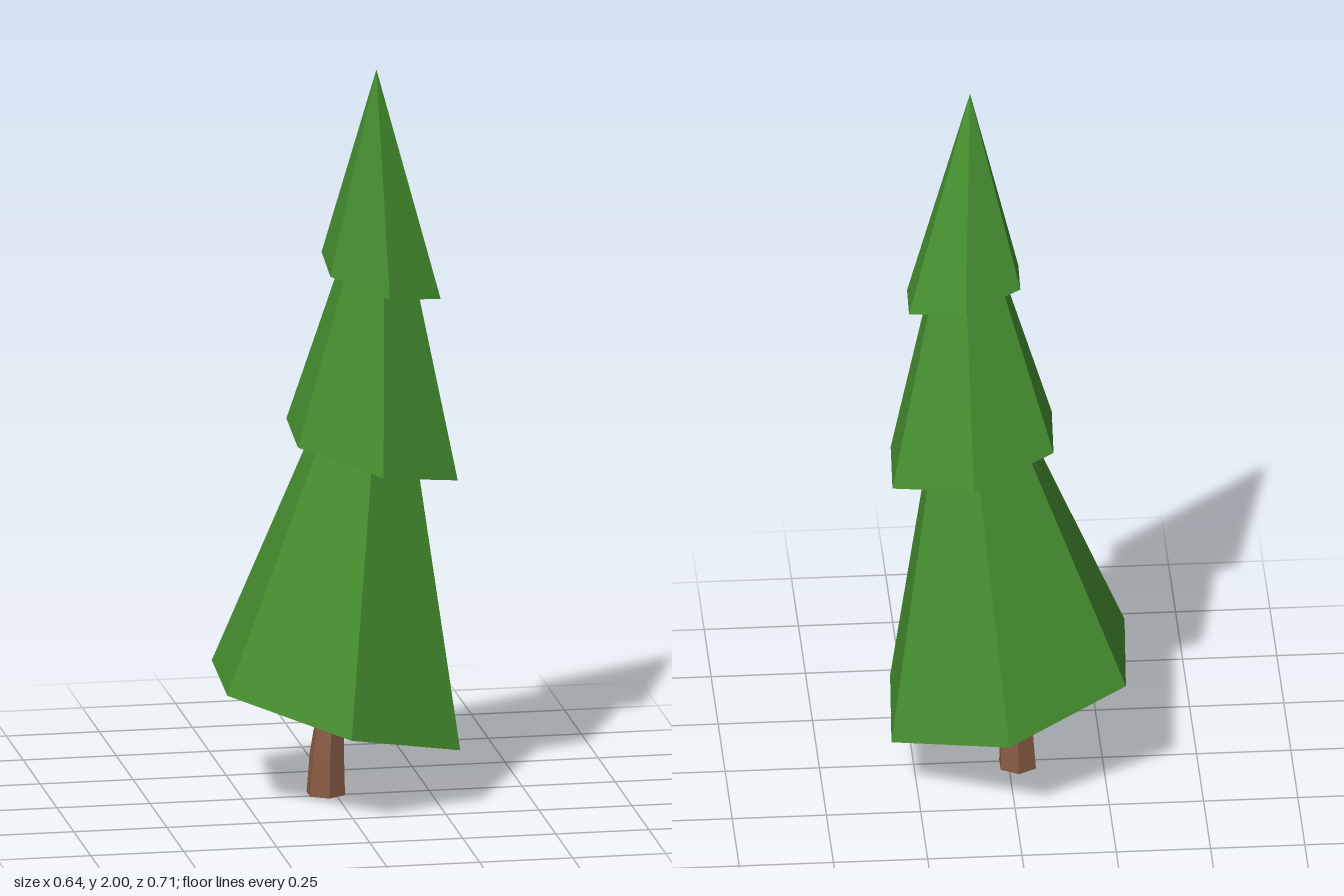
import * as THREE from 'three';

const SIDES = 6;

// Ring of corners around a centre, on a plane tilted by slopes sx and sz
function ring([cx, cy, cz], radius, turn = 0, sx = 0, sz = 0) {
  return Array.from({ length: SIDES }, (_, i) => {
    const a = turn + (i * Math.PI * 2) / SIDES;
    const x = radius * Math.sin(a), z = radius * Math.cos(a);
    return [cx + x, cy + sx * x + sz * z, cz + z];
  });
}

// Triangles joining a ring to a point; flip for faces that look down
function fan(points, tip, flip = false) {
  return points.flatMap((p, i) => {
    const q = points[(i + 1) % SIDES];
    return flip ? [q, p, tip] : [p, q, tip];
  });
}

// Band of faces between two rings
function band(low, high) {
  return low.flatMap((p, i) => {
    const j = (i + 1) % SIDES;
    return [p, low[j], high[j], p, high[j], high[i]];
  });
}

function facetedMesh(name, corners, material) {
  const geometry = new THREE.BufferGeometry();
  geometry.setAttribute('position', new THREE.Float32BufferAttribute(corners.flat(), 3));
  geometry.computeVertexNormals();
  const mesh = new THREE.Mesh(geometry, material);
  mesh.name = name;
  return mesh;
}

export function createModel() {
  const tree = new THREE.Group();
  tree.name = 'pineTree';
  const needles = new THREE.MeshStandardMaterial({ color: 0x468f30 });
  needles.name = 'needleGreen';
  const bark = new THREE.MeshStandardMaterial({ color: 0x8a5c44 });
  bark.name = 'barkBrown';

  // Leaning foliage cones, each with a tilted rim and a hollowed underside
  const tiers = [
    { name: 'lowerFoliage', centre: [0, 0.245, 0], radius: 0.358, turn: -0.064, sx: -0.27, sz: -0.025, tip: [0.137, 1.46, 0] },
    { name: 'middleFoliage', centre: [0.094, 0.945, 0.016], radius: 0.246, turn: -0.055, sx: -0.24, sz: -0.075, tip: [0.12, 1.82, 0.062] },
    { name: 'upperFoliage', centre: [0.115, 1.425, 0.034], radius: 0.17, turn: -0.042, sx: -0.235, sz: -0.148, tip: [0.095, 2, 0.075] },
  ];
  for (const t of tiers) {
    const rim = ring(t.centre, t.radius, t.turn, t.sx, t.sz);
    const hollow = [t.centre[0] + 0.02, t.centre[1] + t.radius * 0.3, t.centre[2]];
    tree.add(facetedMesh(t.name, [...fan(rim, t.tip), ...fan(rim, hollow, true)], needles));
  }

  // Bent, tapering trunk
  const trunkRings = [
    ring([-0.024, 0, -0.019], 0.054),
    ring([-0.021, 0.11, -0.019], 0.048),
    ring([-0.01, 0.25, -0.018], 0.035),
    ring([0.015, 0.42, -0.01], 0.03),
  ];
  const trunk = fan(trunkRings[0], [-0.024, 0, -0.019], true);
  for (let i = 0; i < trunkRings.length - 1; i++) trunk.push(...band(trunkRings[i], trunkRings[i + 1]));
  trunk.push(...fan(trunkRings.at(-1), [0.015, 0.42, -0.01]));
  tree.add(facetedMesh('trunk', trunk, bark));

  return tree;
}
